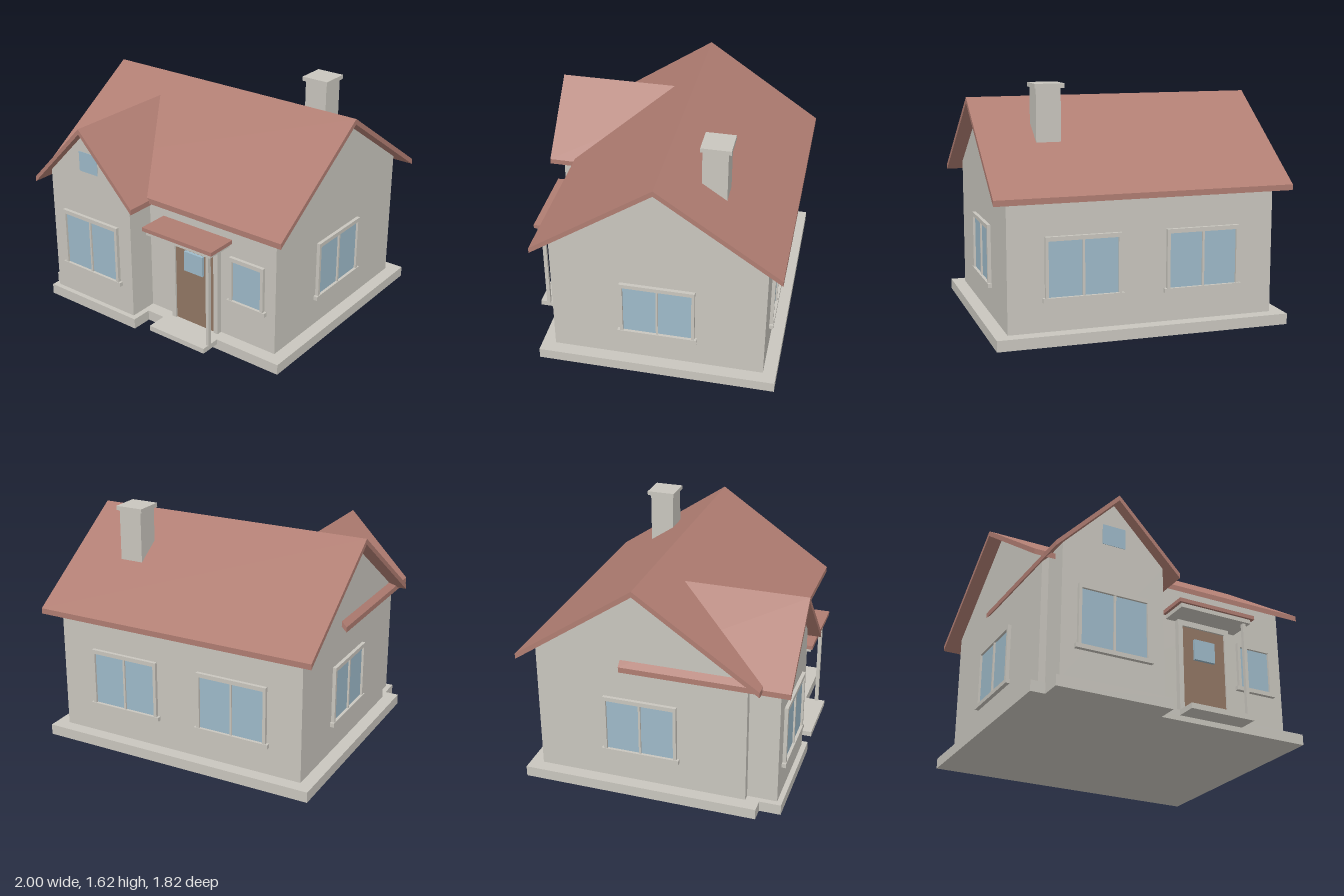
import * as THREE from 'three';

const mat = (name, color) => {
  const m = new THREE.MeshStandardMaterial({ color });
  m.name = name;
  return m;
};

export function createModel() {
  const wall = mat('plaster', 0xc9c6be);
  const roof = mat('roof tile', 0xb07d72);
  const glass = mat('window glass', 0x9ebac9);
  const wood = mat('door wood', 0x927764);

  const house = new THREE.Group();
  house.name = 'house';

  const add = (name, geometry, material, parent = house) => {
    const mesh = new THREE.Mesh(geometry, material);
    mesh.name = name;
    parent.add(mesh);
    return mesh;
  };
  // Box given by its limits on each axis
  const box = (name, material, [x0, x1], [y0, y1], [z0, z1], parent = house) => {
    const g = new THREE.BoxGeometry(x1 - x0, y1 - y0, z1 - z0);
    g.translate((x0 + x1) / 2, (y0 + y1) / 2, (z0 + z1) / 2);
    return add(name, g, material, parent);
  };
  // Prism along z from a list of corners
  const prism = (points, z0, z1) => {
    const shape = new THREE.Shape(points.map(([x, y]) => new THREE.Vector2(x, y)));
    const g = new THREE.ExtrudeGeometry(shape, { depth: z1 - z0, bevelEnabled: false });
    return g.translate(0, 0, z0);
  };
  // Walls rising to a gable
  const gableWalls = (half, base, eave, apex, z0, z1) =>
    prism([[-half, base], [half, base], [half, eave], [0, apex], [-half, eave]], z0, z1);
  // Two roof slopes with plumb-cut eaves
  const gableRoof = (half, eave, apex, thick, z0, z1) =>
    prism([[-half, eave - thick], [0, apex - thick], [half, eave - thick],
      [half, eave], [0, apex], [-half, eave]], z0, z1);

  // Foundation and doorstep
  box('foundation', wall, [-0.99, 0.99], [0, 0.073], [-0.9, 0.721]);
  box('bayFoundation', wall, [-0.893, -0.1], [0, 0.073], [0.7, 0.867]);
  box('doorstep', wall, [0.035, 0.5], [0.036, 0.073], [0.7, 0.863]);

  // Main block, ridge running along x
  const ridgeZ = -0.091;
  add('mainWalls', gableWalls(0.72, 0.07, 0.982, 1.473, -0.902, 0.902)
    .rotateY(Math.PI / 2).translate(0, 0, ridgeZ), wall);
  add('mainRoof', gableRoof(0.82, 0.952, 1.51, 0.038, -1, 1)
    .rotateY(Math.PI / 2).translate(0, 0, ridgeZ), roof);

  // Front bay, ridge running along z
  const bayX = -0.497;
  add('bayWalls', gableWalls(0.358, 0.07, 0.986, 1.356, 0.6, 0.832).translate(bayX, 0, 0), wall);
  add('bayRoof', gableRoof(0.44, 0.935, 1.391, 0.037, -0.22, 0.91).translate(bayX, 0, 0), roof);
  box('atticWindow', glass, [-0.578, -0.415], [1.05, 1.193], [0.83, 0.835]);

  // Chimney
  box('chimney', wall, [0.458, 0.623], [1.1, 1.59], [-0.489, -0.323]);
  box('chimneyCap', wall, [0.438, 0.635], [1.588, 1.617], [-0.508, -0.31]);

  // Framed window with sill; origin is at the bottom centre on the wall, facing +z
  const addWindow = (name, width, height, panes, position, turn = 0) => {
    const w = new THREE.Group();
    w.name = name;
    const h = width / 2, t = 0.021, d = 0.024;
    for (const s of [-1, 1]) {
      const edges = [s * h, s * (h - t)].sort((a, b) => a - b);
      box('frameSide', wall, edges, [0, height], [-0.01, d], w);
    }
    box('frameTop', wall, [-h + t, h - t], [height - 0.028, height], [-0.01, d], w);
    box('sill', wall, [-h - 0.017, h + 0.017], [-0.029, 0], [-0.01, d + 0.004], w);
    if (panes === 2) box('mullion', wall, [-0.007, 0.007], [0, height - 0.028], [-0.01, d - 0.004], w);
    box('pane', glass, [-h + t, h - t], [0, height - 0.028], [0, 0.008], w);
    w.position.set(...position);
    w.rotation.y = turn;
    house.add(w);
  };
  addWindow('bayWindow', 0.5, 0.41, 2, [bayX, 0.308, 0.832]);
  addWindow('frontWindow', 0.27, 0.317, 1, [0.682, 0.363, 0.629]);
  for (const s of [-1, 1]) {
    addWindow(s > 0 ? 'leftWindow' : 'rightWindow', 0.505, 0.392, 2,
      [s * 0.902, 0.297, ridgeZ], s * Math.PI / 2);
    addWindow('backWindow', 0.505, 0.392, 2, [s * 0.407, 0.297, -0.811], Math.PI);
  }

  // Door with its surround
  box('door', wood, [0.105, 0.431], [0.07, 0.703], [0.62, 0.655]);
  box('doorWindow', glass, [0.19, 0.345], [0.473, 0.617], [0.65, 0.676]);
  box('doorJamb', wall, [0.071, 0.105], [0.07, 0.742], [0.62, 0.668]);
  box('doorJamb', wall, [0.431, 0.465], [0.07, 0.742], [0.62, 0.668]);
  box('doorHeader', wall, [0.105, 0.431], [0.703, 0.742], [0.62, 0.668]);

  // Porch canopy on its post
  box('porchPost', wall, [0.484, 0.507], [0.07, 0.745], [0.79, 0.816]);
  box('canopyBeam', wall, [0, 0.534], [0.742, 0.771], [0.62, 0.832]);
  box('canopyRoof', roof, [-0.02, 0.556], [0.771, 0.798], [0.62, 0.848]);

  return house;
}
